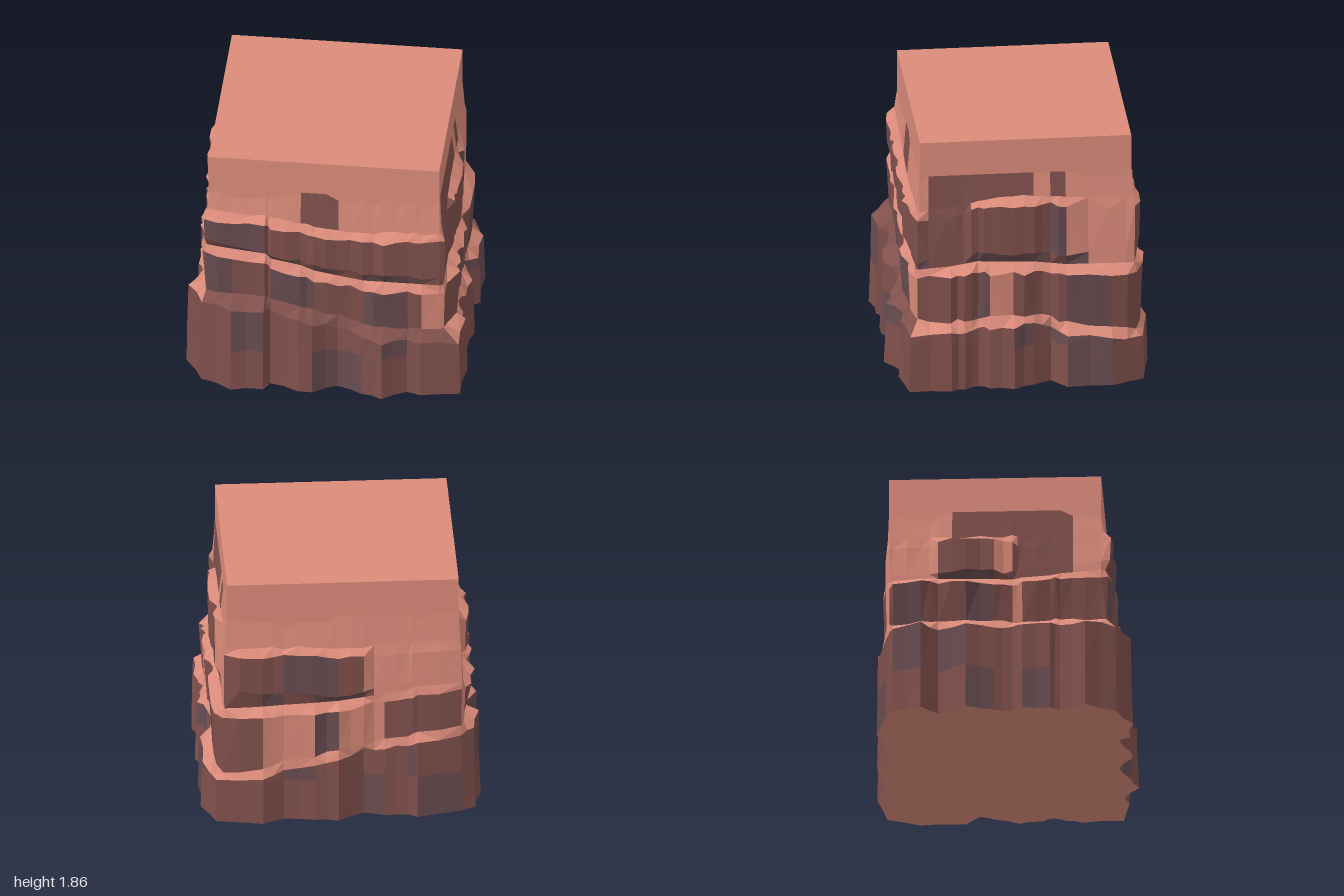
import * as THREE from 'three';

// Footprint of the rock at ground level, front -> right -> back -> left
const outline = [
  [-0.87, 0.82], [-0.65, 0.93], [-0.42, 0.9], [-0.38, 0.82], [-0.17, 0.9], [-0.07, 0.9], [0.1, 0.8],
  [0.28, 0.88], [0.43, 0.93], [0.6, 0.82], [0.7, 0.85], [0.98, 0.8],
  [1, 0.5], [0.97, 0.4], [0.92, 0.3], [0.97, 0.22], [1, 0.05], [0.93, -0.1], [0.87, -0.22],
  [1, -0.33], [1, -0.65], [0.9, -0.88],
  [0.57, -0.94], [0.42, -0.87], [0.2, -0.9], [0.03, -0.92], [-0.15, -0.81], [-0.3, -0.86],
  [-0.47, -0.86], [-0.53, -0.9], [-0.85, -0.82],
  [-0.95, -0.77], [-1, -0.57], [-0.88, -0.45], [-1, -0.25], [-0.93, -0.05], [-0.9, 0.08],
  [-0.96, 0.15], [-0.95, 0.35], [-0.91, 0.42], [-1, 0.6],
];

// Strata heights: [outline index, lower top, middle top, upper bottom, upper top]
const strata = [
  [0, 0.7, 1.1, 1.19, 1.39], [2, 0.69, 1.05, 1.1, 1.37], [5, 0.59, 0.93, 1.02, 1.31],
  [7, 0.5, 0.87, 0.97, 1.28], [11, 0.46, 0.87, 0.95, 1.31], [14, 0.48, 0.92, 1.02, 1.39],
  [17, 0.5, 0.9, 1.0, 1.41], [19, 0.42, 0.87, 0.96, 1.38], [21, 0.34, 0.86, 1.03, 1.35],
  [25, 0.5, 0.9, 0.97, 1.32], [29, 0.62, 1.0, 1.08, 1.35], [32, 0.7, 1.05, 1.1, 1.38],
  [36, 0.68, 1.03, 1.1, 1.37], [41, 0.7, 1.1, 1.19, 1.39],
];

const CAP = { x0: -0.83, x1: 0.82, z0: -0.8, z1: 0.71, top: 1.86, base: 1.6 };
const COLORS = { sand: 0xdb8b7a, rock: 0x80504c, shadowRock: 0x694c50 };

// Stretches of the loop where the upper stratum has crumbled into a steep slope
const gaps = [[11.5, 13], [19.5, 20.5], [26.5, 30.5], [31, 32.5], [36.5, 40.5]];
// Stretches where bare rock climbs to the top block
const bare = [[4, 5.5], [11.5, 16.5], [18, 18.5], [33.5, 39]];
// Stretches near the corners and at the back where the middle stratum is shallow
const shallow = [[10.5, 11.5], [21, 21], [26.5, 30.5], [39.5, 40.5]];
const within = (ranges, i) => ranges.some(([a, b]) => i >= a && i <= b);

function seeded(seed) {
  return () => {
    seed = (seed * 16807) % 2147483647;
    return seed / 2147483647;
  };
}

function heightsAt(i) {
  const k = strata.findIndex((s) => s[0] > i);
  const a = strata[k - 1], b = strata[k];
  const t = (i - a[0]) / (b[0] - a[0]);
  return [1, 2, 3, 4].map((c) => THREE.MathUtils.lerp(a[c], b[c], t));
}

export function createModel() {
  const group = new THREE.Group();
  group.name = 'cliffBlock';
  const rand = seeded(4711);
  const n = outline.length * 2;

  // One vertical profile per half step of the footprint, pushed out from the square core
  const columns = Array.from({ length: n }, (_, c) => {
    const i = c / 2;
    const p = outline[Math.floor(i)], q = outline[Math.ceil(i) % outline.length];
    const x = (p[0] + q[0]) / 2, z = (p[1] + q[1]) / 2;
    const bx = THREE.MathUtils.clamp(x, CAP.x0, CAP.x1);
    const bz = THREE.MathUtils.clamp(z, CAP.z0, CAP.z1);
    const reach = Math.hypot(x - bx, z - bz);
    const dx = (x - bx) / reach, dz = (z - bz) / reach;
    const full = c % 2 ? reach * (1 - 0.12 * rand()) : reach;
    const [y1, y2, y3, y4] = heightsAt(i);
    const j = (s = 0.03) => (rand() - 0.5) * s;
    const front = i <= 11, left = i >= 31;
    const depth = within(shallow, i) ? 0.55 : 1;
    const mid = depth * (0.03 + (front ? 0.18 : 0.38) * full + 0.04 * rand());
    const high = depth * (0.03 + (left ? 0.28 : 0.15) * full + 0.04 * rand());
    const upper = within(gaps, i)
      ? [[y3, 0.03], [y4 - 0.06, 0.015 + 0.015 * rand()], [y4 + 0.02, 0.012]]
      : [[y3 + j(), high * 0.9], [y4 - 0.03 + j(), high], [y4 + 0.02 + j(), 0.02]];
    const rim = within(bare, i) ? CAP.base : CAP.base - 0.1 * rand();
    return [
      [0, full], [0.32 + j(), full * (0.98 - 0.06 * rand())], [y1 - 0.03 + j(), full * 0.92],
      [y1 + 0.04 + j(), mid * (left ? 0.3 : 0.8)], [y2 - 0.04 + j(), mid], [y2 + 0.02, 0.03],
      ...upper, [rim, 0],
    ].map(([y, out]) => new THREE.Vector3(bx + dx * out, y, bz + dz * out));
  });

  const faces = { sand: [], rock: [], shadowRock: [] };
  const add = (key, ...pts) => pts.forEach((p) => faces[key].push(p.x, p.y, p.z));

  // Ledges and crumbled slopes are sandy, walls are mixed rock
  const pickColor = (ring, i, tone) => {
    if (ring === 2) return i < 11 ? 'rock' : 'sand';
    if (ring === 4) return 'sand';
    if (ring === 8) return within(bare, i) ? 'rock' : 'sand';
    if (ring >= 5 && within(gaps, i)) return within(bare, i) ? 'rock' : 'sand';
    if (ring === 7) return 'sand';
    if (ring === 5) return tone < 0.5 ? 'shadowRock' : 'rock';
    const pale = i >= 22 && i <= 30 ? 0.5 : 0.12;
    if (tone < pale && ring > 1) return 'sand';
    return tone > 0.78 ? 'shadowRock' : 'rock';
  };

  const center = new THREE.Vector3(0, 0, 0);
  let tones = [];
  for (let c = 0; c < n; c++) {
    const a = columns[c], b = columns[(c + 1) % n];
    // Both halves of a footprint step share their rock tones
    if (c % 2 === 0) tones = a.map(() => rand());
    for (let r = 0; r < a.length - 1; r++) {
      const key = pickColor(r, c / 2, tones[r]);
      if ((c + r) % 2) {
        add(key, a[r], b[r], b[r + 1]);
        add(key, a[r], b[r + 1], a[r + 1]);
      } else {
        add(key, a[r], b[r], a[r + 1]);
        add(key, b[r], b[r + 1], a[r + 1]);
      }
    }
    // Underside
    add('sand', center, b[0], a[0]);
  }

  const names = { sand: 'sandyLedges', rock: 'rockWalls', shadowRock: 'darkRockWalls' };
  for (const key of Object.keys(faces)) {
    const geo = new THREE.BufferGeometry();
    geo.setAttribute('position', new THREE.Float32BufferAttribute(faces[key], 3));
    geo.computeVertexNormals();
    const mesh = new THREE.Mesh(geo, new THREE.MeshStandardMaterial({ color: COLORS[key], flatShading: true }));
    mesh.name = names[key];
    group.add(mesh);
  }

  // Square top block
  const bottom = 1.48;
  const cap = new THREE.Mesh(
    new THREE.BoxGeometry(CAP.x1 - CAP.x0, CAP.top - bottom, CAP.z1 - CAP.z0),
    new THREE.MeshStandardMaterial({ color: COLORS.sand }),
  );
  cap.position.set((CAP.x0 + CAP.x1) / 2, (CAP.top + bottom) / 2, (CAP.z0 + CAP.z1) / 2);
  cap.name = 'topBlock';
  group.add(cap);

  return group;
}
